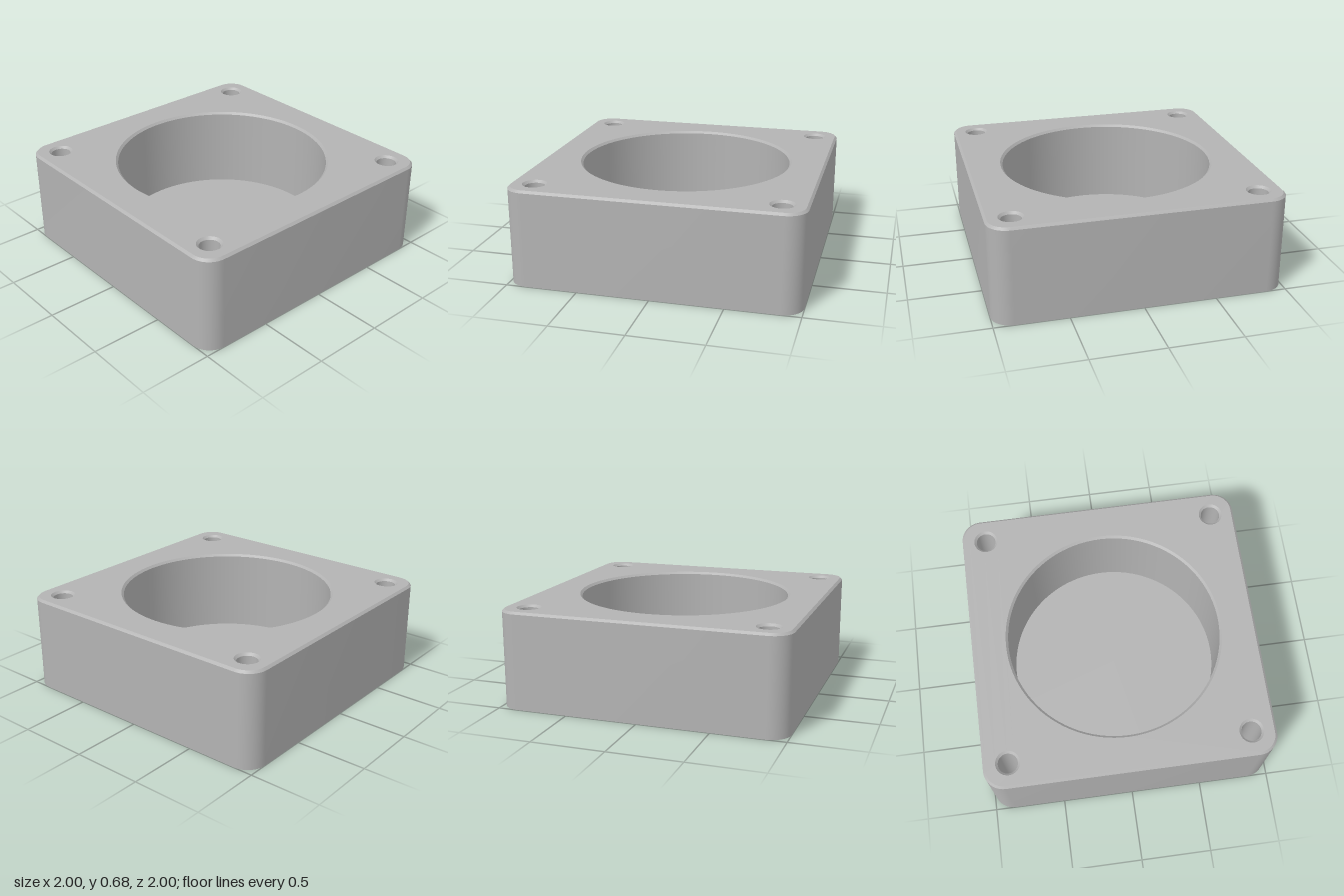
import * as THREE from 'three';
import { toCreasedNormals } from 'three/addons/utils/BufferGeometryUtils.js';

const HEIGHT = 0.68, CORNER = 0.14, CHAMFER = 0.016, FLOOR = 0.08;
const POCKET = 0.745, SCREW_AT = 0.83, BORE = 0.068, SCREW = 0.04;

// Counter-clockwise outline of a rounded square
function roundedSquare(half, radius, steps = 12) {
  const pts = [];
  for (let corner = 0; corner < 4; corner++) {
    const mid = Math.PI / 4 + corner * Math.PI / 2;
    const cx = Math.sign(Math.cos(mid)) * (half - radius);
    const cy = Math.sign(Math.sin(mid)) * (half - radius);
    for (let i = 0; i <= steps; i++) {
      const a = (corner + i / steps) * Math.PI / 2;
      pts.push(new THREE.Vector2(cx + radius * Math.cos(a), cy + radius * Math.sin(a)));
    }
  }
  return pts;
}

function circle(x, y, radius, segments) {
  const pts = [];
  for (let i = 0; i < segments; i++) {
    const a = (i / segments) * Math.PI * 2;
    pts.push(new THREE.Vector2(x + radius * Math.cos(a), y + radius * Math.sin(a)));
  }
  return new THREE.Path(pts);
}

// Outward-facing band through stacked outlines of equal point count
function loft(levels) {
  const pos = [];
  for (let k = 0; k < levels.length - 1; k++) {
    const [lo, y0] = levels[k], [hi, y1] = levels[k + 1];
    lo.forEach((p, i) => {
      const j = (i + 1) % lo.length;
      const a = [p.x, y0, -p.y], b = [lo[j].x, y0, -lo[j].y];
      const c = [hi[j].x, y1, -hi[j].y], d = [hi[i].x, y1, -hi[i].y];
      pos.push(...a, ...b, ...c, ...a, ...c, ...d);
    });
  }
  const geo = new THREE.BufferGeometry();
  geo.setAttribute('position', new THREE.Float32BufferAttribute(pos, 3));
  return toCreasedNormals(geo, 0.5);
}

export function createModel() {
  const model = new THREE.Group();
  model.name = 'housing';
  const grey = new THREE.MeshStandardMaterial({ color: 0xb3b3b3 });
  grey.name = 'grey';

  function add(name, geometry, parent = model) {
    const mesh = new THREE.Mesh(geometry, grey);
    mesh.name = name;
    parent.add(mesh);
    return mesh;
  }

  // Revolved recess: one lathe per profile step keeps the edges sharp
  function recess(name, x, z, profile, segments) {
    const group = new THREE.Group();
    group.name = name;
    group.position.set(x, 0, z);
    for (let i = 0; i < profile.length - 1; i++) {
      const pair = [profile[i], profile[i + 1]].map(p => new THREE.Vector2(...p));
      add(name + 'Face' + (i + 1), new THREE.LatheGeometry(pair, segments), group);
    }
    model.add(group);
  }

  const outer = roundedSquare(1, CORNER);
  const inset = roundedSquare(1 - CHAMFER, CORNER - CHAMFER);
  const corners = [[1, 1], [1, -1], [-1, -1], [-1, 1]].map(c => c.map(s => s * SCREW_AT));

  // Side walls with the chamfered upper edge
  add('sideWalls', loft([[outer, 0], [outer, HEIGHT - CHAMFER], [inset, HEIGHT]]));

  // Top face, open at the pocket and the screw holes
  const top = new THREE.Shape(inset);
  top.holes.push(circle(0, 0, POCKET + CHAMFER, 96));
  for (const [x, z] of corners) top.holes.push(circle(x, -z, BORE + CHAMFER, 32));
  add('topFace', new THREE.ShapeGeometry(top).rotateX(-Math.PI / 2).translate(0, HEIGHT, 0));

  // Underside with the small screw exits
  const bottom = new THREE.Shape(outer);
  for (const [x, z] of corners) bottom.holes.push(circle(x, z, SCREW, 32));
  add('underside', new THREE.ShapeGeometry(bottom).rotateX(Math.PI / 2));

  // Round blind pocket
  recess('pocket', 0, 0, [
    [POCKET + CHAMFER, HEIGHT], [POCKET, HEIGHT - CHAMFER], [POCKET, FLOOR], [0, FLOOR],
  ], 96);

  // Counterbored through holes in the corners
  for (const [x, z] of corners) {
    recess('screwHole', x, z, [
      [BORE + CHAMFER, HEIGHT], [BORE, HEIGHT - CHAMFER], [BORE, FLOOR],
      [SCREW, FLOOR], [SCREW, 0],
    ], 32);
  }
  return model;
}
